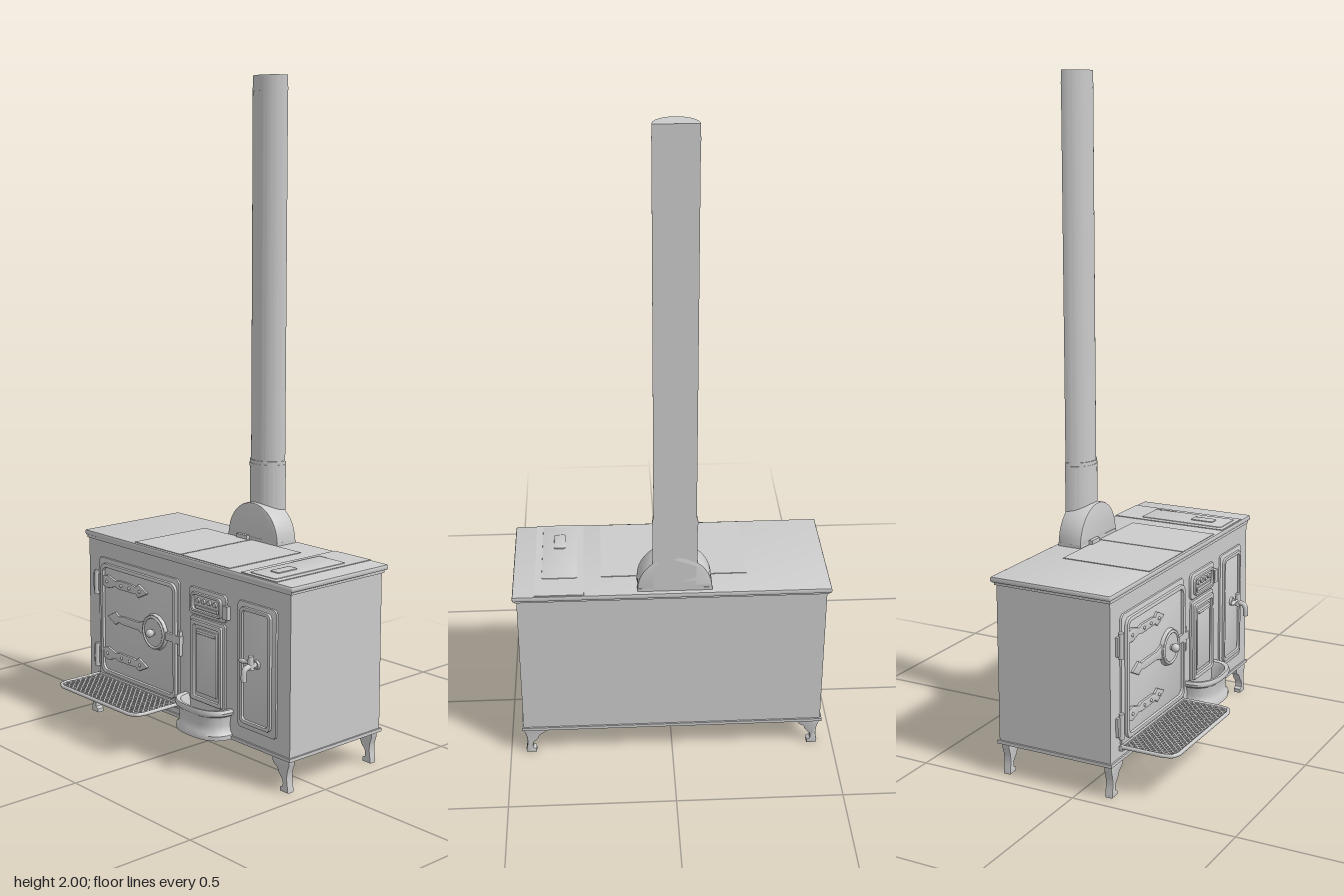
import * as THREE from 'three';
import { toCreasedNormals } from 'three/addons/utils/BufferGeometryUtils.js';

const mat = new THREE.MeshStandardMaterial({ color: 0xcccccc, side: THREE.DoubleSide });
const FRONT = 0.1; // z of the body's front wall

function add(parent, name, geo, x = 0, y = 0, z = 0) {
  const m = new THREE.Mesh(geo, mat);
  m.name = name;
  m.position.set(x, y, z);
  parent.add(m);
  return m;
}

// Box given by its limits
function box(parent, name, x0, x1, y0, y1, z0, z1) {
  return add(parent, name, new THREE.BoxGeometry(x1 - x0, y1 - y0, z1 - z0),
    (x0 + x1) / 2, (y0 + y1) / 2, (z0 + z1) / 2);
}

function roundRect(x0, x1, y0, y1, r, target = new THREE.Shape()) {
  target.moveTo(x0 + r, y0).lineTo(x1 - r, y0);
  target.absarc(x1 - r, y0 + r, r, -Math.PI / 2, 0);
  target.absarc(x1 - r, y1 - r, r, 0, Math.PI / 2);
  target.absarc(x0 + r, y1 - r, r, Math.PI / 2, Math.PI);
  target.absarc(x0 + r, y0 + r, r, Math.PI, Math.PI * 1.5);
  return target;
}

// Extrusion from z0 to z1 with a rounded edge
function extrude(shape, z0, z1, bevel = 0.003) {
  const g = new THREE.ExtrudeGeometry(shape, {
    depth: z1 - z0 - 2 * bevel, bevelEnabled: bevel > 0, bevelThickness: bevel,
    bevelSize: bevel, bevelOffset: -bevel, bevelSegments: 2, curveSegments: 10,
  });
  g.translate(0, 0, z0 + bevel);
  return toCreasedNormals(g, 0.6);
}

function panel(parent, name, x0, x1, y0, y1, r, proud) {
  return add(parent, name, extrude(roundRect(x0, x1, y0, y1, r), FRONT - 0.01, FRONT + proud));
}

function frame(parent, name, x0, x1, y0, y1, r, w, proud) {
  const s = roundRect(x0, x1, y0, y1, r);
  s.holes.push(roundRect(x0 + w, x1 - w, y0 + w, y1 - w, Math.max(r - w / 2, 0.004), new THREE.Path()));
  return add(parent, name, extrude(s, FRONT - 0.01, FRONT + proud));
}

function rod(parent, name, r0, r1, len, x, y, z, axis) {
  const g = new THREE.CylinderGeometry(r1, r0, len, 16);
  if (axis === 'z') g.rotateX(Math.PI / 2);
  if (axis === 'x') g.rotateZ(Math.PI / 2);
  return add(parent, name, g, x, y, z);
}

// Outline mirrored about y = 0, from [x, half height] pairs
function spear(pts) {
  const v = [...pts, ...pts.slice().reverse().map(([x, h]) => [x, -h])];
  return new THREE.Shape(v.map(([x, y]) => new THREE.Vector2(x, y)));
}

function buildShelf(parent) {
  const g = new THREE.Group();
  g.name = 'ovenShelf';
  parent.add(g);
  const outline = [[-0.405, 0.105], [-0.405, 0.235], [-0.398, 0.26], [-0.375, 0.27],
    [-0.047, 0.27], [-0.024, 0.26], [-0.017, 0.235], [-0.017, 0.105]];
  const y = 0.137;
  // Rim
  const path = new THREE.CurvePath();
  const v = outline.map(([x, z]) => new THREE.Vector3(x, y, z));
  v.forEach((p, i) => path.add(new THREE.LineCurve3(p, v[(i + 1) % v.length])));
  add(g, 'shelfRim', new THREE.TubeGeometry(path, 160, 0.006, 8, true));
  // Diagonal lattice, each bar trimmed to the outline
  for (const s of [1, -1]) {
    for (let c = -0.8; c < 0.8; c += 0.02) {
      const hits = [];
      outline.forEach(([x0, z0], i) => {
        const [x1, z1] = outline[(i + 1) % outline.length];
        const d0 = z0 - s * x0 - c, d1 = z1 - s * x1 - c;
        if (d0 * d1 < 0) hits.push([x0 + (x1 - x0) * d0 / (d0 - d1), z0 + (z1 - z0) * d0 / (d0 - d1)]);
      });
      if (hits.length < 2) continue;
      const [[ax, az], [bx, bz]] = hits;
      const bar = add(g, 'shelfBar', new THREE.BoxGeometry(Math.hypot(bx - ax, bz - az), 0.004, 0.0045),
        (ax + bx) / 2, y, (az + bz) / 2);
      bar.rotation.y = -s * Math.PI / 4;
    }
  }
}

function buildOvenDoor(parent) {
  const g = new THREE.Group();
  g.name = 'ovenDoor';
  parent.add(g);
  panel(g, 'doorSlab', -0.403, -0.01, 0.13, 0.522, 0.018, 0.006);
  frame(g, 'doorMoulding', -0.385, -0.018, 0.15, 0.507, 0.025, 0.013, 0.015);
  box(g, 'doorSill', -0.41, -0.012, 0.126, 0.14, FRONT - 0.01, FRONT + 0.012);
  for (const y of [0.45, 0.217]) {
    const strap = spear([[-0.375, 0.015], [-0.35, 0.021], [-0.31, 0.009], [-0.295, 0.014], [-0.225, 0.013],
      [-0.212, 0.01], [-0.197, 0.021], [-0.155, 0.001]]);
    add(g, 'strapHinge', extrude(strap, FRONT, FRONT + 0.013, 0.002), 0, y);
    for (const x of [-0.352, -0.28, -0.24, -0.19]) {
      add(g, 'rivet', new THREE.SphereGeometry(0.005, 10, 6), x, y, FRONT + 0.013);
    }
  }
  for (const y of [0.437, 0.2]) {
    rod(g, 'hingePin', 0.008, 0.008, 0.075, -0.41, y, FRONT + 0.009, 'y');
    box(g, 'hingeLeaf', -0.428, -0.395, y - 0.028, y + 0.028, FRONT - 0.005, FRONT + 0.008);
  }
  // Latch: pointed plate, round boss, knob and bar
  const plate = spear([[-0.35, 0.001], [-0.312, 0.02], [-0.295, 0.01], [-0.275, 0.013], [-0.2, 0.013],
    [-0.17, 0.022], [-0.11, 0.022]]);
  add(g, 'latchPlate', extrude(plate, FRONT, FRONT + 0.013, 0.002), 0, 0.339);
  rod(g, 'latchBoss', 0.058, 0.054, 0.018, -0.118, 0.339, FRONT + 0.008, 'z');
  add(g, 'latchRing', new THREE.TorusGeometry(0.047, 0.004, 8, 32), -0.118, 0.339, FRONT + 0.017);
  rod(g, 'latchStem', 0.009, 0.007, 0.02, -0.118, 0.339, FRONT + 0.026, 'z');
  add(g, 'latchKnob', new THREE.SphereGeometry(0.013, 16, 10), -0.118, 0.339, FRONT + 0.031);
  box(g, 'latchBar', -0.075, 0.002, 0.327, 0.351, FRONT, FRONT + 0.014);
  box(g, 'latchCatch', -0.012, -0.001, 0.29, 0.365, FRONT - 0.01, FRONT + 0.011);
}

function buildFirebox(parent) {
  const g = new THREE.Group();
  g.name = 'firebox';
  parent.add(g);
  // Upper draught door with slots
  panel(g, 'draughtDoor', 0.035, 0.2, 0.433, 0.515, 0.015, 0.007);
  frame(g, 'draughtFrame', 0.051, 0.184, 0.444, 0.503, 0.014, 0.008, 0.015);
  for (let i = 0; i < 4; i++) rod(g, 'draughtStud', 0.008, 0.007, 0.01, 0.08 + i * 0.025, 0.48, FRONT + 0.008, 'z');
  box(g, 'draughtSlide', 0.07, 0.166, 0.455, 0.464, FRONT, FRONT + 0.012);
  box(g, 'draughtCatch', 0.19, 0.212, 0.447, 0.487, FRONT - 0.005, FRONT + 0.013);
  // Lower fire door
  panel(g, 'fireDoor', 0.04, 0.195, 0.17, 0.428, 0.01, 0.006);
  frame(g, 'fireDoorFrame', 0.05, 0.185, 0.175, 0.418, 0.006, 0.013, 0.014);
  panel(g, 'fireDoorPanel', 0.073, 0.162, 0.2, 0.395, 0.004, 0.011);
  rod(g, 'fireDoorBead', 0.003, 0.003, 0.08, 0.1175, 0.383, FRONT + 0.012, 'x');
  // Ash basin: half lathe squared off towards the corners
  const prof = [[0, 0.095], [0.104, 0.095], [0.104, 0.108], [0.096, 0.116], [0.093, 0.135], [0.097, 0.162],
    [0.106, 0.168], [0.108, 0.176], [0.104, 0.184], [0.09, 0.182], [0.084, 0.17], [0.08, 0.125], [0, 0.125]];
  const geo = new THREE.LatheGeometry(prof.map(([r, y]) => new THREE.Vector2(r, y)), 40, -Math.PI / 2, Math.PI);
  const p = geo.attributes.position;
  for (let i = 0; i < p.count; i++) {
    const x = p.getX(i), z = p.getZ(i), r = Math.hypot(x, z);
    if (r === 0) continue;
    const k = 1 / Math.pow(Math.pow(Math.abs(x / r), 2.5) + Math.pow(Math.abs(z / r), 2.5), 0.4);
    p.setXYZ(i, x * k, p.getY(i), z * k * 0.74);
  }
  add(g, 'ashBasin', toCreasedNormals(geo, 0.7), 0.1175, 0, FRONT);
}

function buildBoiler(parent) {
  const g = new THREE.Group();
  g.name = 'waterTank';
  parent.add(g);
  panel(g, 'tankDoor', 0.247, 0.407, 0.143, 0.517, 0.014, 0.006);
  frame(g, 'tankMoulding', 0.263, 0.39, 0.16, 0.503, 0.016, 0.011, 0.014);
  // Tap with curved spout and side lever
  rod(g, 'tapFlange', 0.014, 0.012, 0.008, 0.33, 0.345, FRONT + 0.009, 'z');
  const spout = new THREE.CatmullRomCurve3([[0.345, 0.1], [0.345, 0.135], [0.34, 0.152], [0.325, 0.157], [0.305, 0.157]]
    .map(([y, z]) => new THREE.Vector3(0.33, y, z)));
  add(g, 'tapSpout', new THREE.TubeGeometry(spout, 20, 0.008, 12));
  rod(g, 'tapValve', 0.01, 0.008, 0.04, 0.33, 0.355, 0.13, 'y');
  rod(g, 'tapStem', 0.004, 0.004, 0.03, 0.315, 0.353, 0.13, 'x');
  const lever = add(g, 'tapLever', new THREE.SphereGeometry(0.007, 12, 8), 0.296, 0.353, 0.13);
  lever.scale.x = 2.2;
}

function buildFlue(parent) {
  const g = new THREE.Group();
  g.name = 'flue';
  parent.add(g);
  const cx = -0.007, back = -0.266;
  // Half-round pipe with a flat back
  const half = (name, r, y0, y1) => {
    const s = new THREE.Shape().absarc(0, 0, r, Math.PI, Math.PI * 2);
    const geo = new THREE.ExtrudeGeometry(s, { depth: y1 - y0, bevelEnabled: false, curveSegments: 32 });
    geo.rotateX(-Math.PI / 2);
    add(g, name, toCreasedNormals(geo, 0.6), cx, y0, back);
  };
  half('pipe', 0.062, 0.6, 2);
  half('pipeSocket', 0.065, 0.6, 0.845);
  half('socketBand', 0.0665, 0.822, 0.834);
  half('topBand', 0.063, 1.955, 1.965);
  // Domed smoke box
  const dome = new THREE.Shape().absarc(0, 0, 0.11, 0, Math.PI);
  add(g, 'smokeBox', extrude(dome, back, -0.188, 0.004), cx, 0.605, 0);
  box(g, 'smokeBoxFoot', cx - 0.11, cx + 0.11, 0.595, 0.607, back, -0.188);
  box(g, 'damperTab', -0.068, -0.02, 0.597, 0.611, -0.19, -0.176);
}

function buildTop(parent) {
  const g = new THREE.Group();
  g.name = 'hob';
  parent.add(g);
  const slab = extrude(roundRect(-0.47, 0.47, -0.108, 0.28, 0.003), 0, 0.017, 0.005);
  slab.rotateX(-Math.PI / 2);
  add(g, 'hobSlab', slab, 0, 0.58, 0);
  const Y = 0.59;
  box(g, 'hotplateLeft', -0.225, -0.011, Y, 0.599, -0.185, 0.1);
  box(g, 'hotplateRight', -0.007, 0.208, Y, 0.599, -0.185, 0.1);
  box(g, 'tankCover', 0.26, 0.405, Y, 0.599, -0.276, 0.104);
  const lid = (name, x0, x1, z0, z1, y1) => {
    const geo = extrude(roundRect(x0, x1, -z1, -z0, 0.006), Y, y1, 0.001);
    geo.rotateX(-Math.PI / 2);
    add(g, name, geo);
  };
  lid('tankLid', 0.28, 0.385, -0.19, 0.09, 0.601);
  lid('lidGrip', 0.315, 0.35, -0.032, 0.044, 0.604);
}

function buildLegs(parent) {
  const s = new THREE.Shape().moveTo(0, 0.1).lineTo(0.068, 0.1).lineTo(0.068, 0.084);
  s.bezierCurveTo(0.062, 0.066, 0.05, 0.075, 0.044, 0.058);
  s.bezierCurveTo(0.038, 0.04, 0.022, 0.045, 0.026, 0.018);
  s.lineTo(0.036, 0.012).lineTo(0.036, 0).lineTo(0.004, 0).lineTo(0.004, 0.012);
  s.quadraticCurveTo(0.014, 0.05, 0, 0.08);
  for (const side of [1, -1]) {
    for (const [name, z] of [['frontLeg', 0.09], ['backLeg', -0.247]]) {
      const leg = add(parent, name, extrude(s, -0.012, 0.012, 0.003), side * -0.457, 0, z);
      if (side < 0) leg.rotation.y = Math.PI;
    }
  }
}

export function createModel() {
  const root = new THREE.Group();
  root.name = 'kitchenRange';
  box(root, 'body', -0.458, 0.458, 0.097, 0.582, -0.266, FRONT);
  box(root, 'baseLedge', -0.463, 0.463, 0.094, 0.104, -0.271, FRONT + 0.005);
  box(root, 'corniceLedge', -0.463, 0.463, 0.572, 0.582, -0.271, FRONT + 0.004);
  buildTop(root);
  buildLegs(root);
  buildOvenDoor(root);
  buildShelf(root);
  buildFirebox(root);
  buildBoiler(root);
  buildFlue(root);
  return root;
}
